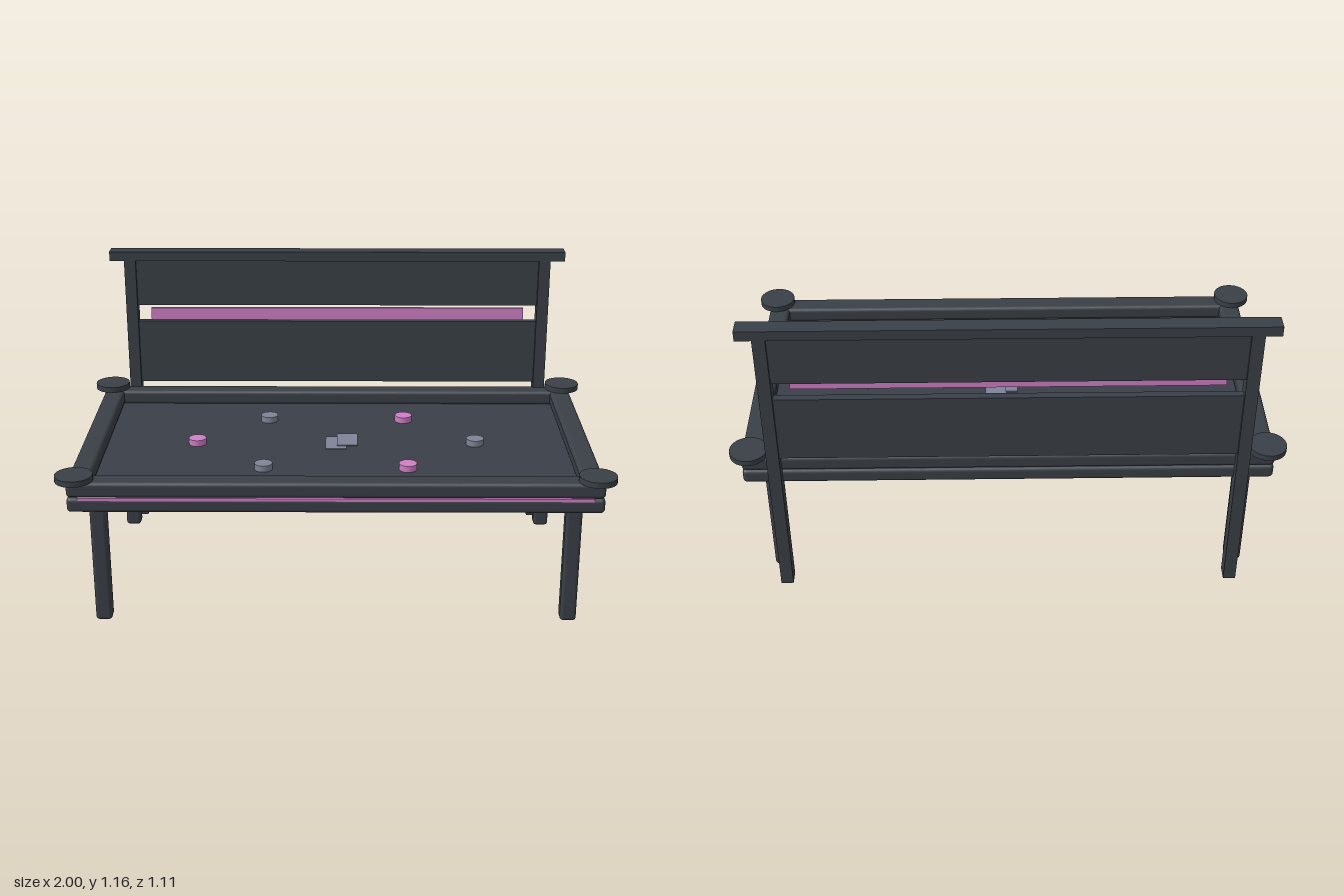
import * as THREE from 'three';
import { RoundedBoxGeometry } from 'three/addons/geometries/RoundedBoxGeometry.js';

const frameMat = new THREE.MeshStandardMaterial({ color: 0x3a4047 });
frameMat.name = 'charcoal frame';
const feltMat = new THREE.MeshStandardMaterial({ color: 0x3a3f49 });
feltMat.name = 'slate playing surface';
const pinkMat = new THREE.MeshStandardMaterial({ color: 0xd07fc6 });
pinkMat.name = 'orchid accent';
const greyMat = new THREE.MeshStandardMaterial({ color: 0x808497 });
greyMat.name = 'grey pieces';

export function createModel() {
  const model = new THREE.Group();
  model.name = 'gameTable';

  const add = (name, geometry, material, x, y, z) => {
    const mesh = new THREE.Mesh(geometry, material);
    mesh.name = name;
    mesh.position.set(x, y, z);
    model.add(mesh);
    return mesh;
  };
  // Box given by its limits on each axis, with optional rounded edges
  const box = (name, material, [x0, x1], [y0, y1], [z0, z1], radius = 0) => {
    const size = [x1 - x0, y1 - y0, z1 - z0];
    const geometry = radius
      ? new RoundedBoxGeometry(...size, 3, radius)
      : new THREE.BoxGeometry(...size);
    return add(name, geometry, material, (x0 + x1) / 2, (y0 + y1) / 2, (z0 + z1) / 2);
  };
  // Same box on the left and right
  const pair = (name, material, [x0, x1], y, z, radius) => {
    box(name + 'Left', material, [x0, x1], y, z, radius);
    box(name + 'Right', material, [-x1, -x0], y, z, radius);
  };

  // Table base and playing surface
  box('tableBase', frameMat, [-0.96, 0.96], [0.469, 0.525], [-0.512, 0.514], 0.015);
  box('playingSurface', feltMat, [-0.89, 0.89], [0.52, 0.53], [-0.45, 0.44]);

  // Raised rails around the surface
  const railY = [0.526, 0.585];
  box('frontRail', frameMat, [-0.96, 0.96], railY, [0.43, 0.514], 0.015);
  box('backRail', frameMat, [-0.96, 0.96], railY, [-0.512, -0.437], 0.015);
  pair('sideRail', frameMat, [0.88, 0.96], railY, [-0.512, 0.514], 0.015);

  // Glowing strip in the seam at the front
  box('frontStrip', pinkMat, [-0.92, 0.92], [0.516, 0.527], [0.5, 0.5145]);

  // Legs and corner discs
  for (const [label, z] of [['front', 1], ['back', -1]]) {
    pair(label + 'Leg', frameMat, [0.833, 0.893], [0, 0.472], [z * 0.417 - 0.03, z * 0.417 + 0.03], 0.013);
    for (const x of [-1, 1]) {
      const disc = new THREE.CylinderGeometry(0.068, 0.068, 0.022, 32);
      add(label + 'CornerDisc' + (x > 0 ? 'Left' : 'Right'), disc, frameMat, x * 0.932, 0.596, z * 0.486);
    }
  }

  // Backboard: posts, two panels with a slot between, and a cap
  pair('backPost', frameMat, [0.815, 0.861], [0, 1.127], [-0.547, -0.492]);
  box('upperPanel', frameMat, [-0.82, 0.82], [0.935, 1.127], [-0.536, -0.508]);
  box('lowerPanel', frameMat, [-0.82, 0.82], [0.605, 0.866], [-0.536, -0.508]);
  box('backCap', frameMat, [-0.918, 0.918], [1.125, 1.163], [-0.549, -0.488]);
  box('backLightBar', pinkMat, [-0.758, 0.758], [0.881, 0.931], [-0.494, -0.48]);

  // Round tokens in a ring, alternating colour
  for (let i = 0; i < 6; i++) {
    const side = [0, 1, 1, 0, -1, -1][i];
    const x = [0.535, 0.267, -0.27, -0.537, -0.27, 0.267][i];
    const token = new THREE.CylinderGeometry(0.034, 0.034, 0.024, 16);
    add('token' + (i + 1), token, i % 2 ? pinkMat : greyMat, x, 0.542, side * 0.249);
  }

  // Two overlapping cards in the middle
  box('lowerCard', greyMat, [-0.042, 0.038], [0.53, 0.534], [-0.062, 0.06]);
  box('upperCard', greyMat, [0.002, 0.082], [0.534, 0.538], [-0.087, 0.033]);

  return model;
}
